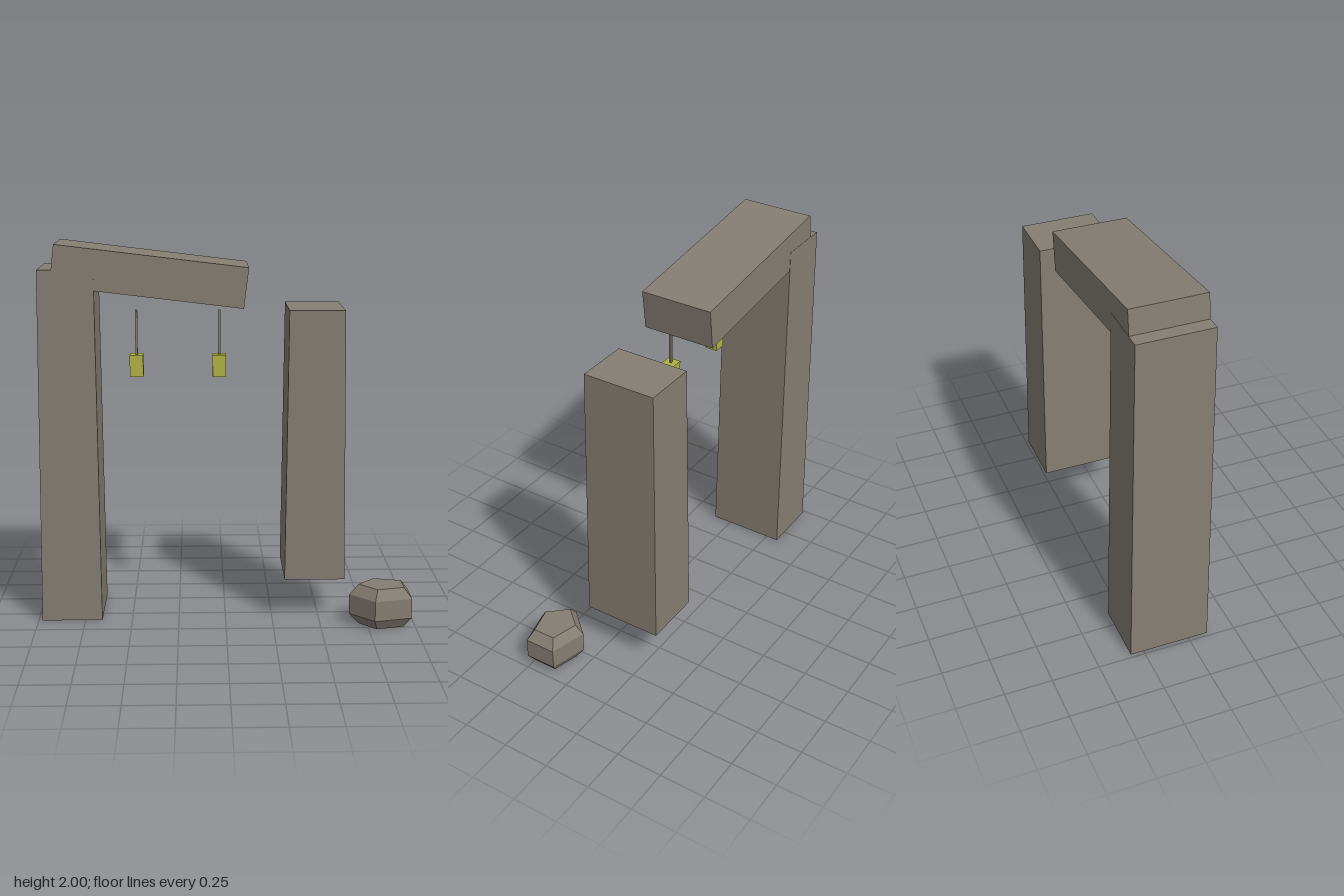
import * as THREE from 'three';

const stone = new THREE.MeshStandardMaterial({ color: 0x857e73, name: 'stone', flatShading: true });
const glow = new THREE.MeshStandardMaterial({ color: 0xb0b444, name: 'lanternYellow', flatShading: true });

const GATE_Z = -0.107; // depth centre of the pillars and lintel

function add(parent, name, geometry, material, x, y, z) {
  const mesh = new THREE.Mesh(geometry, material);
  mesh.name = name;
  mesh.position.set(x, y, z);
  parent.add(mesh);
  return mesh;
}

// Box standing on y = 0 whose top face is narrower than its base
function taperedBox(width, depth, height, inset) {
  const geometry = new THREE.BoxGeometry(width, height, depth).translate(0, height / 2, 0);
  const p = geometry.attributes.position;
  for (let i = 0; i < p.count; i++) {
    if (p.getY(i) > height / 2) {
      p.setX(i, p.getX(i) - Math.sign(p.getX(i)) * inset);
      p.setZ(i, p.getZ(i) - Math.sign(p.getZ(i)) * inset);
    }
  }
  geometry.computeVertexNormals();
  return geometry;
}

export function createModel() {
  const model = new THREE.Group();
  model.name = 'ruinedGate';

  // Pillars: a tall one on the ground, a shorter one floating
  add(model, 'tallPillar', taperedBox(0.32, 0.425, 1.87, 0.015), stone, -0.82, 0, GATE_Z);
  add(model, 'floatingPillar', taperedBox(0.32, 0.425, 1.44, 0.015), stone, 0.475, 0.22, GATE_Z);

  // Sloping broken lintel
  const lintel = add(model, 'lintel', new THREE.BoxGeometry(1.002, 0.212, 0.393), stone, -0.39, 1.835, GATE_Z);
  lintel.rotation.z = -0.12;

  // Hanging lanterns
  for (const x of [-0.462, -0.031]) {
    const lantern = new THREE.Group();
    lantern.name = 'lantern';
    lantern.position.set(x, 0, 0.02);
    add(lantern, 'lanternRod', new THREE.BoxGeometry(0.012, 0.24, 0.012), stone, 0, 1.538, 0);
    add(lantern, 'lanternBox', new THREE.BoxGeometry(0.07, 0.115, 0.07), glow, 0, 1.368, 0);
    model.add(lantern);
  }

  // Fallen five-sided boulder with bevelled top and bottom
  const profile = [[0, 0], [0.128, 0], [0.178, 0.055], [0.178, 0.162], [0.128, 0.217], [0, 0.217]]
    .map(([r, y]) => new THREE.Vector2(r, y));
  const boulder = add(model, 'boulder', new THREE.LatheGeometry(profile, 5, -Math.PI / 2), stone, 0.832, 0, 0.18);
  boulder.scale.z = 0.8;

  return model;
}
